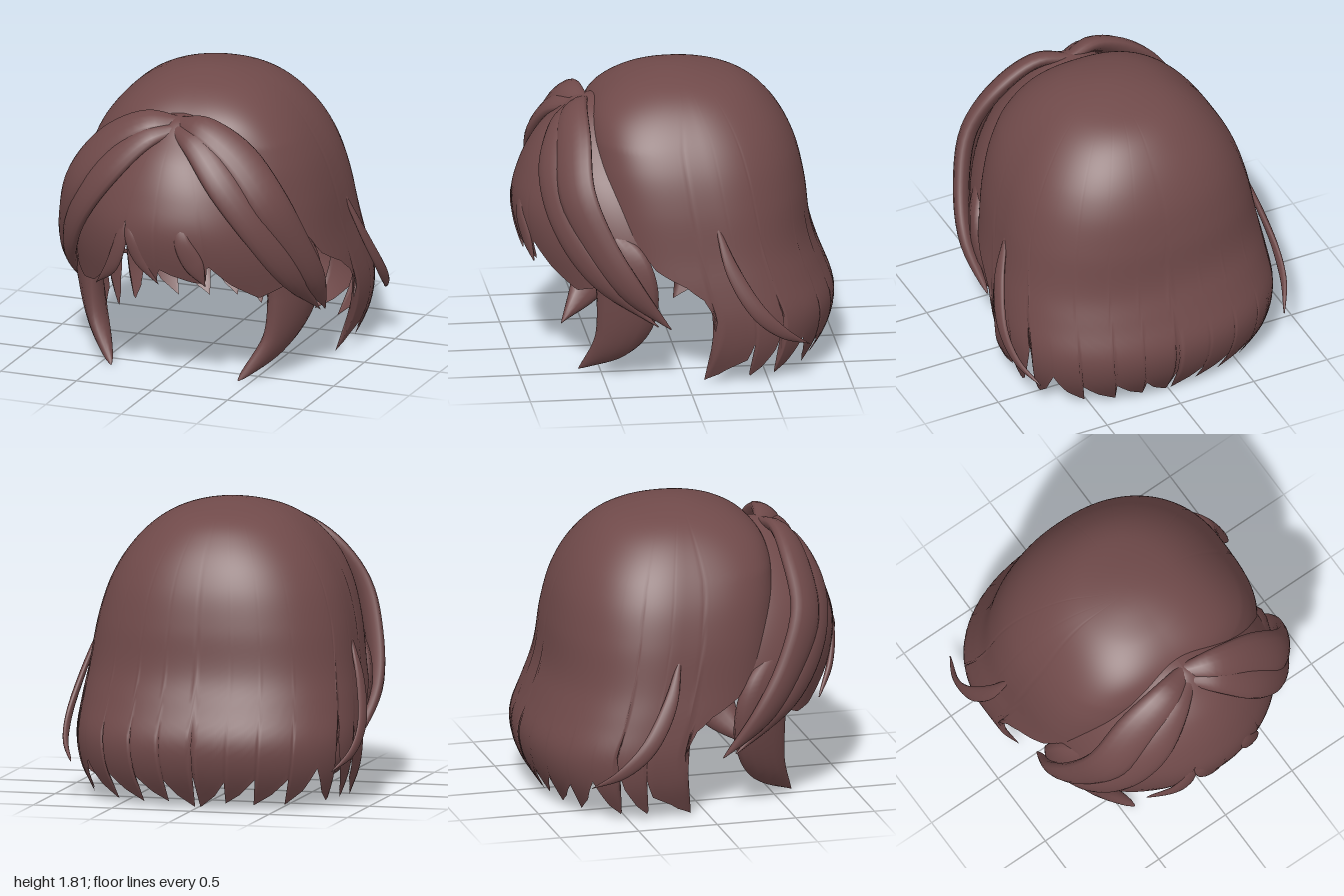
import * as THREE from 'three';

const hair = new THREE.MeshStandardMaterial({ color: 0x704a4a, side: THREE.DoubleSide });
hair.name = 'brown hair';

// Smooth lookup in rows of [position, value, value, ...]
function smoothTable(rows) {
  const size = rows[0].length - 1;
  const curve = new THREE.CubicInterpolant(rows.map(r => r[0]), rows.flatMap(r => r.slice(1)), size);
  return t => Array.from(curve.evaluate(t));
}

// Straight-line lookup in [position, value] pairs
function lookup(pairs, t) {
  for (let i = 1; i < pairs.length; i++) {
    const [a, va] = pairs[i - 1], [b, vb] = pairs[i];
    if (t <= b) return va + (vb - va) * Math.max(0, (t - a) / (b - a));
  }
  return pairs[pairs.length - 1][1];
}

// Surface from a rule: u runs around, v runs down
function sheet(name, nu, nv, point, closed) {
  const pos = [], index = [], cols = closed ? nu : nu + 1;
  for (let j = 0; j <= nv; j++)
    for (let i = 0; i < cols; i++) pos.push(...point(i / nu, j / nv));
  for (let j = 0; j < nv; j++)
    for (let i = 0; i < nu; i++) {
      const a = j * cols + i, b = j * cols + (i + 1) % cols;
      index.push(a, a + cols, b, b, a + cols, b + cols);
    }
  const g = new THREE.BufferGeometry();
  g.setAttribute('position', new THREE.Float32BufferAttribute(pos, 3));
  g.setIndex(index);
  g.computeVertexNormals();
  const mesh = new THREE.Mesh(g, hair);
  mesh.name = name;
  return mesh;
}

// Tapered lock with a lens section, lying flat against the head
function lock(name, path, widths, thick, side = 1) {
  const curve = new THREE.CatmullRomCurve3(path.map(p => new THREE.Vector3(p[0] * side, p[1], p[2])));
  const width = smoothTable(widths.map((w, i) => [i / (widths.length - 1), w]));
  const maxW = Math.max(...widths);
  return sheet(name, 14, 32, (u, v) => {
    const p = curve.getPoint(v), t = curve.getTangent(v);
    const n = p.clone().sub(new THREE.Vector3(0, 0.8, 0));
    n.addScaledVector(t, -n.dot(t)).normalize();
    const b = t.clone().cross(n), a = u * Math.PI * 2;
    const w = Math.max(0.001, width(v)[0]);
    return p.addScaledVector(b, w * Math.cos(a))
      .addScaledVector(n, thick * Math.sqrt(w / maxW) * Math.sin(a)).toArray();
  }, true);
}

// Crown and back: [root of depth, half width, centre z, front z, back z]
const capRing = smoothTable([
  [0, 0, 0, 0, 0], [0.14, 0.19, -0.01, 0.17, -0.2], [0.265, 0.35, -0.04, 0.33, -0.4],
  [0.47, 0.55, -0.08, 0.51, -0.6], [0.69, 0.715, -0.12, 0.55, -0.75], [0.85, 0.79, -0.16, 0.54, -0.81],
  [1.01, 0.835, -0.22, 0.52, -0.85], [1.1, 0.865, -0.27, 0.5, -0.92], [1.19, 0.88, -0.34, 0.5, -0.99],
  [1.27, 0.85, -0.35, 0.5, -0.95], [1.35, 0.76, -0.34, 0.45, -0.82]]);

// Point on the head at an angle from the front; squarer in front than behind
function onHead(deg, y) {
  const d = Math.sqrt(1.82 - y), [w, zc, zf, zb] = capRing(d);
  const a = THREE.MathUtils.degToRad(deg), c = Math.cos(a), s = Math.abs(Math.sin(a));
  const p = 1 - (c > 0 ? 0.38 : 0.1) * Math.min(1, d / 0.6);
  return [w * s ** p, y, c > 0 ? zc + (zf - zc) * c ** p : zc - (zc - zb) * Math.abs(c) ** p];
}

// Hem height by angle from the front, with pointed locks round the back
const capHem = [
  [0, 1.5], [12, 1.42], [22, 1.22], [38, 1.08], [55, 0.93], [66, 0.75], [79, 0.65], [84, 0.57],
  [86, 0.43], [87, 0.02], [90, 0.06], [93, 0.16], [95, 0.28], [96, 0.06], [97, 0.04], [102, 0.1],
  [107, 0.22], [111, 0.44], [112, 0.06], [113, 0.04], [118, 0.1], [124, 0.26], [130, 0.12],
  [138, 0.03], [139, 0.2], [146, 0.1], [154, 0.03], [155, 0.2], [161, 0.1], [167, 0.04], [168, 0.18],
  [172, 0.09], [179, 0.01], [180, 0.22]];

// How far the lock ends swing: forwards at the sides, to the middle behind
const capSweep = [[80, 0], [85, 6], [95, 4], [112, 3], [124, 0], [140, -2], [168, -2], [180, 0]];

function cap() {
  return sheet('crownAndBack', 360, 56, (u, v) => {
    const phi = u * 360, mirror = phi > 180 ? -1 : 1, deg = mirror > 0 ? phi : 360 - phi;
    const d = v * Math.sqrt(1.82 - lookup(capHem, deg)), height = 1.82 - d * d;
    const low = Math.max(0, 1 - height / 0.5);
    const [x, y, z] = onHead(deg - lookup(capSweep, deg) * low * low, height);
    return [mirror * x, y, z];
  }, true);
}

// Fringe: [root of depth, half width, front z, edge z]
const fringeRing = smoothTable([
  [0, 0, 0.55, 0.45], [0.3, 0.27, 0.7, 0.42], [0.49, 0.44, 0.84, 0.4], [0.66, 0.6, 0.94, 0.36],
  [0.8, 0.7, 0.99, 0.3], [0.917, 0.75, 0.96, 0.26], [1.044, 0.75, 0.87, 0.24]]);
const fringeHem = [
  [-1, 0.65], [-0.8, 0.56], [-0.66, 0.58], [-0.45, 0.72], [-0.37, 0.85], [-0.29, 1.07], [-0.25, 0.95],
  [-0.1, 0.78], [0, 0.69], [0.03, 0.78], [0.14, 0.74], [0.3, 0.7], [0.4, 0.69], [0.43, 0.82],
  [0.58, 0.68], [0.76, 0.57], [1, 0.65]];

function fringe() {
  return sheet('fringe', 150, 32, (u, v) => {
    const a = (u - 0.5) * Math.PI;
    const d = v * Math.sqrt(1.64 - lookup(fringeHem, Math.sin(a)));
    const [w, zf, ze] = fringeRing(d);
    return [w * Math.sin(a), 1.64 - d * d, ze + (zf - ze) * Math.cos(a)];
  }, false);
}

export function createModel() {
  const group = new THREE.Group();
  group.name = 'hair';
  group.add(cap(), fringe());

  // Locks that repeat on both sides
  for (const [s, label] of [[1, 'left'], [-1, 'right']]) {
    group.add(
      lock(label + 'CheekLock',
        [[0.64, 0.95, 0.46], [0.68, 0.75, 0.39], [0.67, 0.5, 0.36], [0.59, 0.24, 0.43], [0.42, 0.01, 0.63]],
        [0.06, 0.19, 0.2, 0.13, 0], 0.08, s),
      lock(label + 'OuterPartingStrand',
        [[0, 1.6, 0.56], [0.18, 1.6, 0.63], [0.42, 1.46, 0.66], [0.63, 1.2, 0.66], [0.75, 0.9, 0.53],
          [0.81, 0.62, 0.34], [0.78, 0.36, 0.1]],
        [0.05, 0.1, 0.13, 0.13, 0.11, 0.08, 0], 0.055, s),
      lock(label + 'InnerPartingStrand',
        [[0, 1.58, 0.62], [0.17, 1.53, 0.71], [0.39, 1.31, 0.79], [0.59, 1.02, 0.74], [0.73, 0.7, 0.54],
          [0.78, 0.38, 0.18]],
        [0.04, 0.09, 0.11, 0.1, 0.08, 0], 0.045, s),
      lock(label + 'LooseStrand',
        [[0.79, 1.02, -0.18], [0.88, 0.75, -0.27], [0.93, 0.5, -0.42], [0.91, 0.35, -0.58], [0.83, 0.25, -0.75]],
        [0.01, 0.045, 0.05, 0.035, 0], 0.02, s));
  }

  // Loose ends lying over the fringe
  group.add(
    lock('fringeLockRight',
      [[-0.2, 1.16, 0.89], [-0.22, 0.98, 0.94], [-0.3, 0.76, 0.91], [-0.45, 0.59, 0.8]],
      [0.005, 0.04, 0.045, 0], 0.02),
    lock('fringeLockMiddle',
      [[-0.19, 1.12, 0.91], [-0.16, 0.98, 0.96], [-0.1, 0.83, 0.95], [0.01, 0.67, 0.92]],
      [0.005, 0.04, 0.045, 0], 0.02),
    lock('fringeLockLeft',
      [[0.14, 1.14, 0.92], [0.18, 0.98, 0.96], [0.25, 0.82, 0.93], [0.31, 0.68, 0.89]],
      [0.005, 0.05, 0.06, 0], 0.02));
  return group;
}
